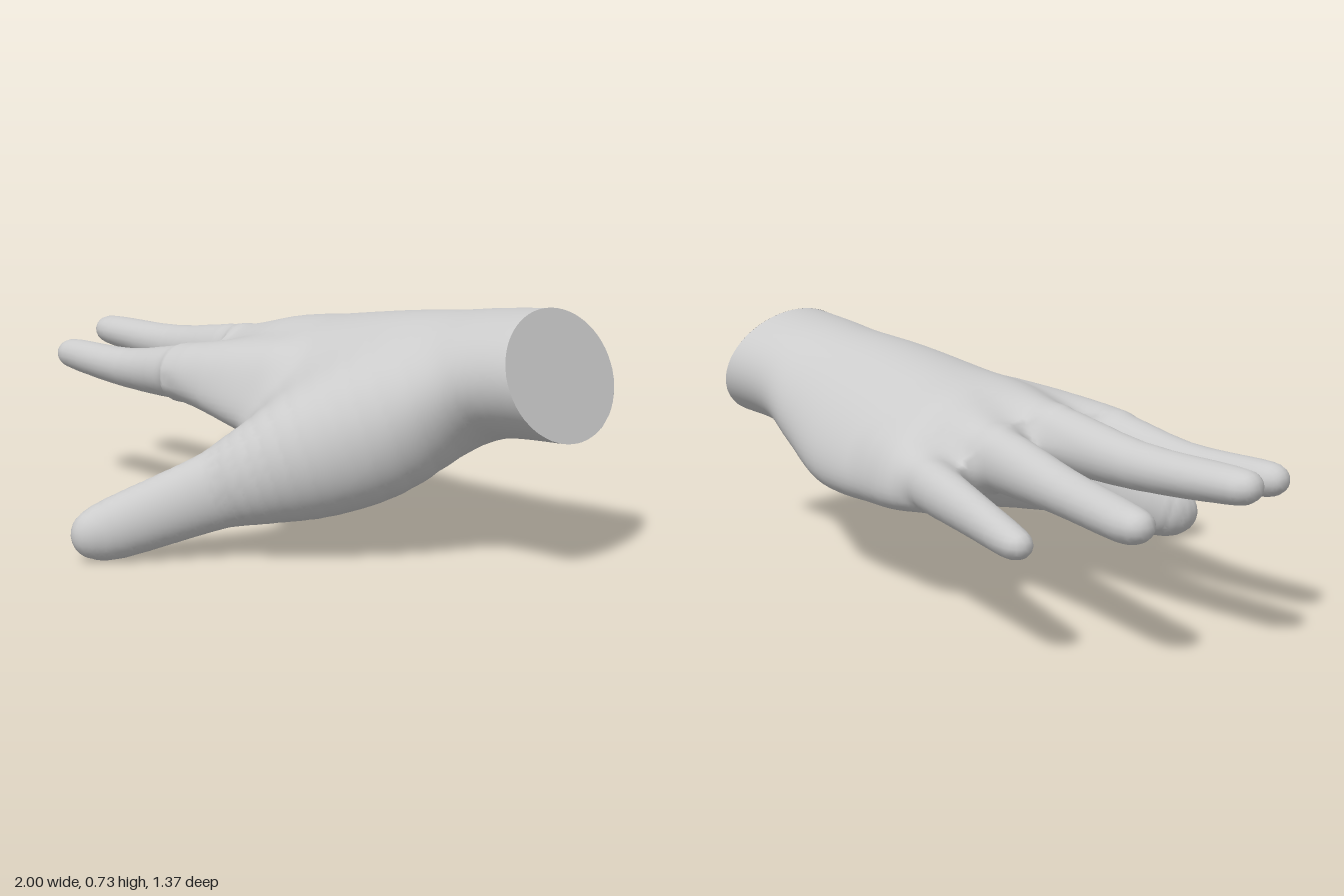
import * as THREE from 'three';

const CELL = 0.018, MIN = [-1.06, -0.06, -0.76], MAX = [1.1, 0.8, 0.76];
const CUT = { x: 0.938, y: 0.555, lean: -0.357 }; // slanted plane that ends the wrist
const material = new THREE.MeshStandardMaterial({ color: 0xcccccc });

// Smoothly interpolate rows of numbers
function smoothRows(rows, steps) {
  const out = [];
  const at = i => rows[Math.max(0, Math.min(rows.length - 1, i))];
  for (let i = 0; i < rows.length - 1; i++) {
    for (let s = 0; s < steps; s++) {
      const t = s / steps;
      out.push(rows[i].map((b, k) => {
        const a = at(i - 1)[k], c = at(i + 1)[k], d = at(i + 2)[k];
        return b + 0.5 * t * (c - a + t * (2 * a - 5 * b + 4 * c - d + t * (3 * (b - c) + d - a)));
      }));
    }
  }
  out.push(rows[rows.length - 1]);
  return out;
}

// Approximate signed distance to an ellipse with half axes a, b
function ellipse(s, a, r, b) {
  const q = Math.sqrt((s / a) ** 2 + (r / b) ** 2);
  if (q < 0.05) return -Math.min(a, b);
  return q * (q - 1) / Math.sqrt((s / (a * a)) ** 2 + (r / (b * b)) ** 2);
}

// Finger stations: x, y, z, half width, half height. Returns a distance function
function finger(stations) {
  const rows = smoothRows(stations, 4);
  const segments = rows.slice(1).map((end, i) => {
    const start = rows[i], d = end.map((v, k) => v - start[k]);
    const flat = Math.hypot(d[0], d[2]);
    return { start, d, len2: d[0] ** 2 + d[1] ** 2 + d[2] ** 2, sx: -d[2] / flat, sz: d[0] / flat };
  });
  return (x, y, z) => {
    let best = Infinity;
    for (const { start, d, len2, sx, sz } of segments) {
      const px = x - start[0], py = y - start[1], pz = z - start[2];
      const t = Math.max(0, Math.min(1, (px * d[0] + py * d[1] + pz * d[2]) / len2));
      const ox = px - t * d[0], oy = py - t * d[1], oz = pz - t * d[2];
      const s = ox * sx + oz * sz;
      const r = Math.sqrt(Math.max(0, ox * ox + oy * oy + oz * oz - s * s));
      best = Math.min(best, ellipse(s, start[3] + t * d[3], r, start[4] + t * d[4]));
    }
    return best;
  };
}

// Palm stations: x, back z, front z, top, bottom, front droop, back droop, lean in y, lean in z
function palm(stations) {
  const rows = smoothRows(stations, 5), last = rows.length - 1;
  const rowAt = x => {
    let i = 0;
    while (i < last - 1 && rows[i + 1][0] > x) i++;
    const t = Math.max(0, Math.min(1, (rows[i][0] - x) / (rows[i][0] - rows[i + 1][0])));
    return rows[i].map((v, k) => v + t * (rows[i + 1][k] - v));
  };
  return (x, y, z) => {
    let row = rowAt(x), along = x;
    for (let pass = 0; pass < 2; pass++) {
      along = x - row[7] * (y - (row[3] + row[4]) / 2) - row[8] * (z - (row[1] + row[2]) / 2);
      row = rowAt(along);
    }
    const [, zb, zf, top, bottom, df, db] = row;
    const hw = (zf - zb) / 2, dz = z - (zf + zb) / 2;
    const droop = (dz > 0 ? df : db) * Math.min(1.4, (dz / hw) ** 2);
    const side = ellipse(dz, hw, y - (top + bottom) / 2 + droop, (top - bottom) / 2);
    return Math.max(side, rows[last][0] - along, along - rows[0][0]);
  };
}

// Wrist and palm, arched across the knuckles; the first row runs past the cut
const wristAndPalm = palm([
  [1.0, -0.39, 0.10, 0.73, 0.38, 0, 0, CUT.lean, 0],
  [0.938, -0.39, 0.10, 0.73, 0.38, 0, 0, CUT.lean, 0],
  [0.75, -0.405, 0.095, 0.715, 0.365, 0.01, 0.01, -0.2, 0],
  [0.6, -0.445, 0.13, 0.70, 0.315, 0.05, 0.06, 0, 0],
  [0.4, -0.505, 0.19, 0.68, 0.265, 0.10, 0.10, 0, 0],
  [0.15, -0.545, 0.195, 0.645, 0.275, 0.10, 0.10, 0, 0],
  [-0.04, -0.56, 0.175, 0.615, 0.315, 0.07, 0.10, 0, -0.1],
  [-0.2, -0.46, 0.13, 0.53, 0.39, 0.02, 0.08, 0, -0.22],
]);

// Thumb with the broad muscle at its base
const thumb = finger([
  [0.64, 0.45, -0.07, 0.08, 0.08],
  [0.5, 0.375, 0.05, 0.145, 0.175],
  [0.355, 0.312, 0.155, 0.165, 0.187],
  [0.235, 0.25, 0.27, 0.128, 0.147],
  [0.13, 0.195, 0.365, 0.087, 0.112],
  [-0.05, 0.097, 0.56, 0.075, 0.09],
  [-0.088, 0.08, 0.615, 0.06, 0.072],
]);

// Four fingers, rooted inside the palm
const indexFinger = finger([
  [0.08, 0.46, 0.05, 0.08, 0.1],
  [-0.22, 0.452, 0.07, 0.086, 0.09],
  [-0.55, 0.427, 0.043, 0.066, 0.064],
  [-0.82, 0.438, 0.027, 0.055, 0.051],
  [-0.868, 0.441, 0.026, 0.046, 0.042],
]);
const middleFinger = finger([
  [0.08, 0.48, -0.14, 0.08, 0.1],
  [-0.22, 0.487, -0.145, 0.084, 0.094],
  [-0.58, 0.471, -0.193, 0.067, 0.066],
  [-0.9, 0.482, -0.222, 0.06, 0.051],
  [-0.957, 0.486, -0.226, 0.049, 0.043],
]);
const ringFinger = finger([
  [0.1, 0.46, -0.29, 0.08, 0.09],
  [-0.2, 0.452, -0.338, 0.077, 0.09],
  [-0.5, 0.426, -0.406, 0.064, 0.064],
  [-0.76, 0.41, -0.475, 0.058, 0.053],
  [-0.817, 0.411, -0.488, 0.048, 0.043],
]);
const littleFinger = finger([
  [0.1, 0.41, -0.44, 0.07, 0.075],
  [-0.13, 0.393, -0.52, 0.066, 0.074],
  [-0.34, 0.371, -0.584, 0.054, 0.06],
  [-0.52, 0.349, -0.637, 0.047, 0.046],
  [-0.562, 0.346, -0.648, 0.039, 0.037],
]);

const shapes = { wristAndPalm, thumb, indexFinger, middleFinger, ringFinger, littleFinger };
const parts = Object.entries(shapes).map(([name, distance]) =>
  ({ name, distance, blend: name === 'thumb' ? 0.12 : 0.08 }));

// All parts melted together with soft creases
function field(x, y, z) {
  let d = Infinity;
  for (const { distance, blend } of parts) {
    const f = distance(x, y, z), h = Math.max(0, blend - Math.abs(d - f));
    d = Math.min(d, f) - h * h / (4 * blend);
  }
  return d;
}

function gradient([x, y, z], e = 0.004) {
  return new THREE.Vector3(
    field(x + e, y, z) - field(x - e, y, z),
    field(x, y + e, z) - field(x, y - e, z),
    field(x, y, z + e) - field(x, y, z - e)).divideScalar(2 * e);
}

export function createModel() {
  // Sample the field on a grid
  const size = MIN.map((m, k) => Math.ceil((MAX[k] - m) / CELL) + 1);
  const stride = [1, size[0], size[0] * size[1]];
  const values = new Float32Array(size[0] * size[1] * size[2]);
  const cornerOf = i => [i % size[0], Math.floor(i / stride[1]) % size[1], Math.floor(i / stride[2])];
  const place = (c, k) => MIN[k] + c * CELL;
  for (let i = 0; i < values.length; i++) values[i] = field(...cornerOf(i).map(place));

  // One surface point per crossed cell, pulled onto the skin and cut at the wrist
  const pos = [], normals = [], owner = [], clipped = [], pointOf = new Map();
  const point = cell => {
    if (pointOf.has(cell)) return pointOf.get(cell);
    const sum = [0, 0, 0];
    let count = 0;
    for (let axis = 0; axis < 3; axis++) {
      const u = (axis + 1) % 3, v = (axis + 2) % 3;
      for (let m = 0; m < 4; m++) {
        const du = m & 1, dv = m >> 1, a = cell + du * stride[u] + dv * stride[v];
        const fa = values[a], fb = values[a + stride[axis]];
        if (fa < 0 === fb < 0) continue;
        sum[axis] += fa / (fa - fb);
        sum[u] += du;
        sum[v] += dv;
        count++;
      }
    }
    const p = cornerOf(cell).map((c, k) => place(c + sum[k] / count, k));
    const g = gradient(p), pull = field(...p) / Math.max(0.25, g.lengthSq());
    g.toArray().forEach((v, k) => { p[k] -= v * pull; });
    normals.push(...gradient(p).normalize().toArray());
    const near = parts.map(part => part.distance(...p));
    owner.push(near.indexOf(Math.min(...near)));
    const limit = CUT.x + CUT.lean * (p[1] - CUT.y);
    clipped.push(p[0] > limit);
    pos.push(Math.min(p[0], limit), p[1], p[2]);
    pointOf.set(cell, owner.length - 1);
    return owner.length - 1;
  };

  // Faces around each crossed grid edge, sorted by part; the cut face comes last
  const faces = [...parts.map(() => []), []];
  for (let i = 0; i < values.length; i++) {
    for (let axis = 0; axis < 3; axis++) {
      const next = i + stride[axis];
      if (next >= values.length || values[i] < 0 === values[next] < 0) continue;
      const su = stride[(axis + 1) % 3], sv = stride[(axis + 2) % 3];
      const q = [i - su - sv, i - sv, i, i - su].map(point);
      if (values[i] >= 0) q.reverse();
      const list = q.every(k => clipped[k]) ? faces[parts.length] : faces[owner[q[0]]];
      list.push(q[0], q[1], q[2], q[0], q[2], q[3]);
    }
  }

  const hand = new THREE.Group();
  hand.name = 'hand';
  const cutNormal = new THREE.Vector3(1, -CUT.lean, 0).normalize();
  [...parts.map(part => part.name), 'wristCut'].forEach((name, n) => {
    const shared = new THREE.BufferGeometry();
    shared.setAttribute('position', new THREE.Float32BufferAttribute(pos, 3));
    shared.setAttribute('normal', new THREE.Float32BufferAttribute(normals, 3));
    shared.setIndex(faces[n]);
    const geometry = shared.toNonIndexed();
    const normal = geometry.attributes.normal;
    if (name === 'wristCut') for (let k = 0; k < normal.count; k++) normal.setXYZ(k, ...cutNormal);
    const mesh = new THREE.Mesh(geometry, material);
    mesh.name = name;
    hand.add(mesh);
  });
  return hand;
}
